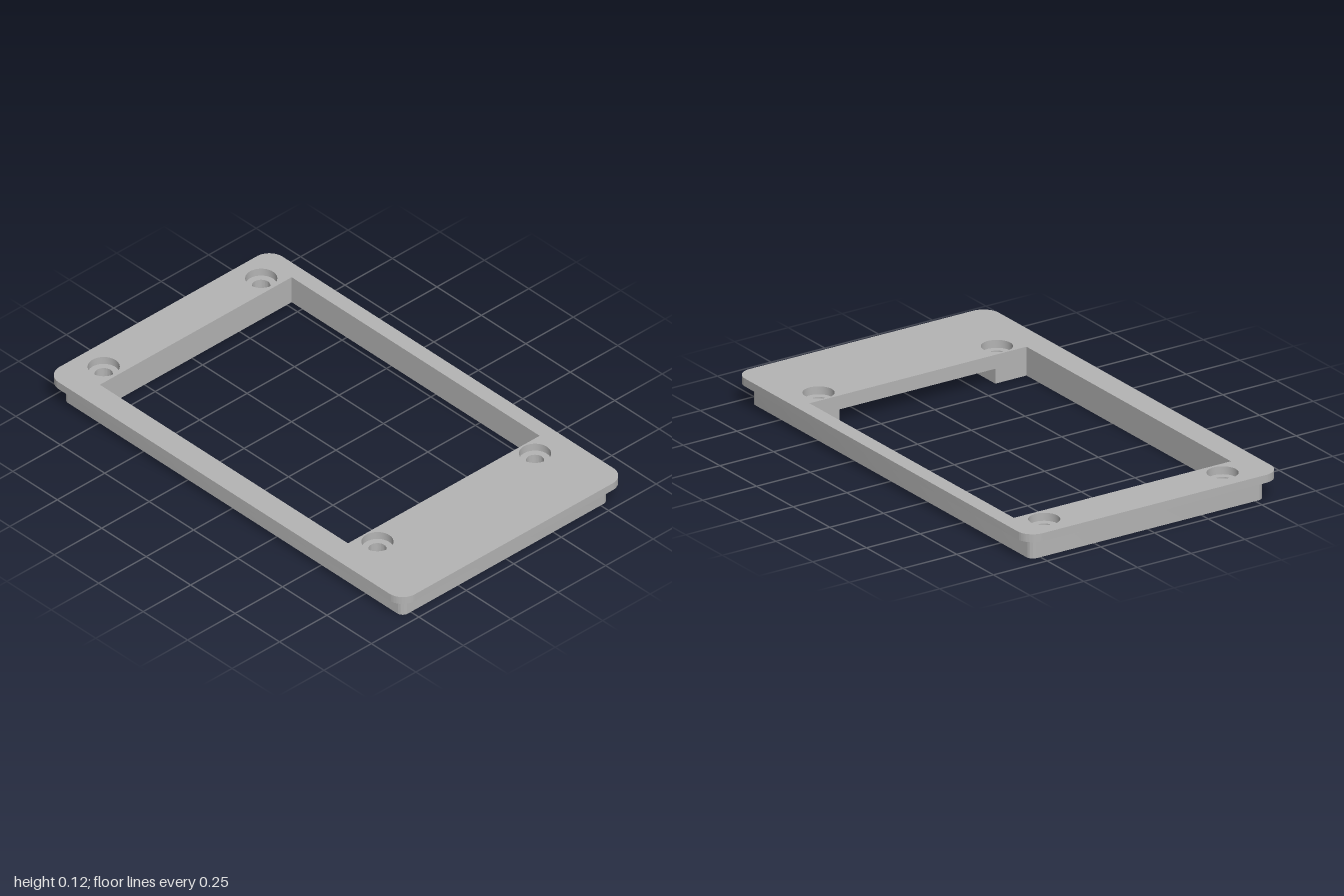
import * as THREE from 'three';
import { toCreasedNormals } from 'three/addons/utils/BufferGeometryUtils.js';

// Plan coordinates are (x, z); shapes are drawn with y = -z and laid flat.
const WINDOW = [[-0.485, -0.81], [0.525, -0.81], [0.525, 0.585], [-0.485, 0.585]];
const WINDOW_WITH_POCKET = [
  [-0.485, -0.81], [0.525, -0.81], [0.525, 0.585], [0.385, 0.585],
  [0.385, 0.895], [-0.34, 0.895], [-0.34, 0.585], [-0.485, 0.585],
];
const SCREWS = [[-0.395, -0.885], [0.435, -0.885], [-0.395, 0.655], [0.435, 0.655]];

function roundedRect(hx, hz, r) {
  const s = new THREE.Shape();
  s.absarc(hx - r, hz - r, r, 0, Math.PI / 2);
  s.absarc(-hx + r, hz - r, r, Math.PI / 2, Math.PI);
  s.absarc(-hx + r, -hz + r, r, Math.PI, Math.PI * 1.5);
  s.absarc(hx - r, -hz + r, r, Math.PI * 1.5, Math.PI * 2);
  s.closePath();
  return s;
}

// One horizontal slab with an opening and four screw holes
function layer(name, outline, opening, holeRadius, y0, y1, material) {
  outline.holes.push(new THREE.Path(opening.map(([x, z]) => new THREE.Vector2(x, -z))));
  for (const [x, z] of SCREWS) {
    const hole = new THREE.Path();
    hole.absarc(x, -z, holeRadius, 0, Math.PI * 2, true);
    outline.holes.push(hole);
  }
  const geometry = new THREE.ExtrudeGeometry(outline, {
    depth: y1 - y0, bevelEnabled: false, curveSegments: 20,
  });
  geometry.rotateX(-Math.PI / 2);
  geometry.translate(0, y0, 0);
  const mesh = new THREE.Mesh(toCreasedNormals(geometry, 0.6), material);
  mesh.name = name;
  return mesh;
}

export function createModel() {
  const group = new THREE.Group();
  group.name = 'bezelFrame';
  const grey = new THREE.MeshStandardMaterial({ color: 0xb4b4b4 });
  grey.name = 'grey';

  const body = () => roundedRect(0.545, 0.955, 0.03);
  group.add(
    // Lower rim, with the pocket open to the window
    layer('lowerRim', body(), WINDOW_WITH_POCKET, 0.035, 0, 0.062, grey),
    // Pocket ceiling and counterbore floors
    layer('upperRim', body(), WINDOW, 0.035, 0.062, 0.087, grey),
    // Overhanging top plate with wide counterbores
    layer('topFlange', roundedRect(0.59, 1, 0.07), WINDOW, 0.062, 0.087, 0.12, grey),
  );
  return group;
}
